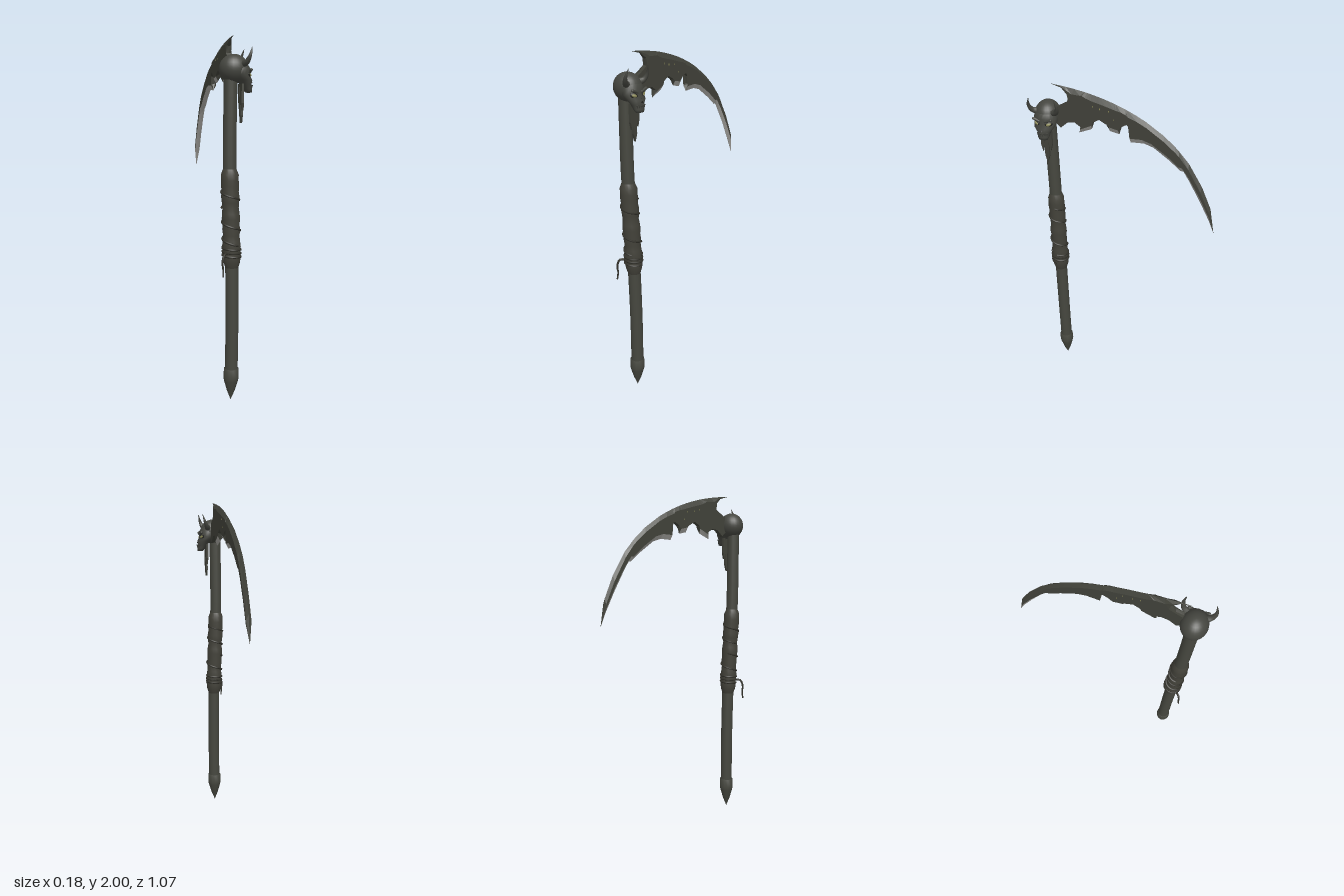
import * as THREE from 'three';

const V = (x, y, z) => new THREE.Vector3(x, y, z);
const mat = (name, color, side = THREE.FrontSide, flatShading = false) => {
  const m = new THREE.MeshStandardMaterial({ color, side, flatShading });
  m.name = name;
  return m;
};

// Slightly bowed centre line of the pole, evenly spaced in height from 0 to 1.8
const axis = new THREE.CatmullRomCurve3([
  V(-0.02, 0, 0.425), V(-0.014, 0.45, 0.426), V(-0.02, 0.9, 0.431),
  V(-0.034, 1.35, 0.441), V(-0.031, 1.8, 0.445)]);
const axisAt = (y) => axis.getPoint(THREE.MathUtils.clamp(y / 1.8, 0, 1));

// Turned profile [radius, y] that follows the pole's bow
function poleLathe(profile, sides) {
  const geo = new THREE.LatheGeometry(profile.map(([r, y]) => new THREE.Vector2(r, y)), sides);
  const p = geo.attributes.position;
  for (let i = 0; i < p.count; i++) {
    const c = axisAt(p.getY(i));
    p.setX(i, p.getX(i) + c.x);
    p.setZ(i, p.getZ(i) + c.z);
  }
  return geo;
}

// Tube that narrows to a fraction of its radius at the end
function taperTube(points, radius, end, segs = 14, sides = 8) {
  const path = new THREE.CatmullRomCurve3(points);
  const geo = new THREE.TubeGeometry(path, segs, radius, sides);
  const p = geo.attributes.position, v = V(0, 0, 0);
  for (let i = 0; i < p.count; i++) {
    const t = Math.floor(i / (sides + 1)) / segs;
    v.fromBufferAttribute(p, i).lerp(path.getPointAt(t), t * (1 - end));
    p.setXYZ(i, v.x, v.y, v.z);
  }
  return geo;
}

// Cord winding round the pole between two heights
function coil(y0, y1, turns, radius, start = 0) {
  const pts = [], n = Math.ceil(turns * 14);
  for (let i = 0; i <= n; i++) {
    const t = i / n, a = start + t * turns * Math.PI * 2, c = axisAt(y0 + (y1 - y0) * t);
    pts.push(V(c.x + Math.cos(a) * radius, y0 + (y1 - y0) * t, c.z + Math.sin(a) * radius));
  }
  return taperTube(pts, 0.006, 1, n * 2, 6);
}

// Blade spine (z, y) from the hooked heel to the point
const spine = new THREE.SplineCurve([
  [0.416, 2], [0.326, 1.993], [0.193, 1.973], [0.034, 1.93], [-0.125, 1.86], [-0.257, 1.77],
  [-0.374, 1.65], [-0.458, 1.51], [-0.51, 1.385], [-0.533, 1.25],
].map(([z, y]) => new THREE.Vector2(z, y)));

// Blade ribs: distance along spine, inner edge z, inner edge y, sharpened (1) or plain (0)
const ribs = [
  [0, 0.416, 2, 0], [0.06, 0.353, 1.984, 0], [0.09, 0.315, 1.952, 0], [0.14, 0.31, 1.915, 0],
  [0.2, 0.342, 1.883, 0], [0.215, 0.384, 1.873, 0], [0.225, 0.4, 1.79, 0], [0.23, 0.363, 1.756, 0],
  [0.235, 0.32, 1.793, 0], [0.24, 0.278, 1.798, 0], [0.25, 0.246, 1.777, 0],
  [0.255, 0.257, 1.74, 1], [0.27, 0.183, 1.772, 1],
  [0.275, 0.172, 1.814, 0], [0.29, 0.135, 1.835, 0], [0.32, 0.093, 1.814, 0],
  [0.335, 0.077, 1.777, 1], [0.37, 0.024, 1.767, 1],
  [0.38, 0.013, 1.81, 0], [0.4, -0.02, 1.83, 0], [0.43, -0.055, 1.81, 0], [0.44, -0.06, 1.767, 0],
  [0.45, -0.04, 1.73, 1], [0.5, -0.114, 1.735, 1], [0.56, -0.167, 1.72, 1], [0.68, -0.257, 1.66, 1],
  [0.76, -0.322, 1.608, 1], [0.79, -0.34, 1.606, 1], [0.88, -0.374, 1.554, 1],
  [1.03, -0.44, 1.44, 1], [1.17, -0.5, 1.326, 1], [1.327, -0.533, 1.25, 1],
];

function bladeGeometries() {
  const body = [], edge = [], cx = -0.007;
  // Each rib is spine, upper shoulder, lower shoulder, cutting edge
  const section = ([s, iz, iy, sharp], side) => {
    const o = spine.getPointAt(Math.min(1, s / 1.327)), i = new THREE.Vector2(iz, iy);
    const len = o.distanceTo(i), h = 0.015 * Math.min(1, len / 0.05) * side;
    const top = Math.min(0.03, len * 0.35), low = Math.min(sharp ? 0.028 : 0.004, len * 0.35);
    const at = (d, x) => { const q = o.clone().lerp(i, len ? d / len : 0); return [cx + x, q.y, q.x]; };
    return [at(0, 0), at(top, h), at(len - low, h), at(len, 0)];
  };
  for (const side of [1, -1]) {
    for (let k = 0; k < ribs.length - 1; k++) {
      const a = section(ribs[k], side), b = section(ribs[k + 1], side);
      for (let j = 0; j < 3; j++) {
        const q = [a[j], a[j + 1], b[j + 1], b[j]];
        if (side < 0) q.reverse();
        const out = j === 2 && ribs[k][3] && ribs[k + 1][3] ? edge : body;
        for (const n of [0, 1, 2, 0, 2, 3]) out.push(...q[n]);
      }
    }
  }
  return [body, edge].map((list) => {
    const g = new THREE.BufferGeometry();
    g.setAttribute('position', new THREE.Float32BufferAttribute(list, 3));
    g.computeVertexNormals();
    return g;
  });
}

// Face of the skull lofted from rows: y, front x, back x, half width
function faceGeometry(zc) {
  const rows = [
    [1.875, 0.03, 0, 0.02], [1.855, 0.056, -0.03, 0.05], [1.822, 0.074, -0.04, 0.066],
    [1.795, 0.068, -0.03, 0.066], [1.768, 0.084, 0, 0.057], [1.745, 0.08, 0.02, 0.04],
    [1.72, 0.085, 0.035, 0.034], [1.705, 0.083, 0.05, 0.026], [1.702, 0.068, 0.064, 0.003]];
  const n = 18, geo = new THREE.PlaneGeometry(1, 1, n, rows.length - 1), p = geo.attributes.position;
  for (let i = 0; i < p.count; i++) {
    const [y, f, b, w] = rows[Math.floor(i / (n + 1))];
    const a = ((i % (n + 1)) / n * 2 - 1) * Math.PI;
    p.setXYZ(i, (f + b) / 2 + (f - b) / 2 * Math.cos(a), y, zc - w * Math.sin(a));
  }
  geo.computeVertexNormals();
  return geo;
}

export function createModel() {
  const root = new THREE.Group();
  const wood = mat('dark wood', 0x46473f), bone = mat('dark bone', 0x454640);
  const iron = mat('dark iron', 0x41423a, THREE.DoubleSide, true);
  const steel = mat('sharpened steel', 0xa6a5a0, THREE.DoubleSide, true);
  const wrap = mat('leather wrap', 0x43423a), cordMat = mat('cord', 0x33322b);
  const glow = mat('pale yellow', 0x8c8a58), shade = mat('hollow black', 0x22231f);
  const add = (name, geo, m, parent = root) => {
    const mesh = new THREE.Mesh(geo, m);
    mesh.name = name;
    parent.add(mesh);
    return mesh;
  };

  // Pole and pointed foot
  const shaft = [];
  for (let i = 0; i <= 16; i++) shaft.push([0.036, 0.15 + i * 0.102]);
  add('shaft', poleLathe(shaft, 16), wood);
  add('footCap', poleLathe([[0, 0], [0.022, 0.055], [0.04, 0.115], [0.044, 0.135], [0.042, 0.185], [0.03, 0.187]], 12), wood);

  // Lumpy leather grip with cords
  const radii = [0.036, 0.046, 0.049, 0.047, 0.051, 0.047, 0.045, 0.049, 0.046, 0.05, 0.048, 0.044,
    0.047, 0.05, 0.046, 0.049, 0.047, 0.048, 0.036];
  add('grip', poleLathe(radii.map((r, i) => [r, 0.765 + i * 0.54 / 18]), 16), wrap);
  const cords = new THREE.Group();
  cords.name = 'gripCords';
  root.add(cords);
  add('lowerBinding', coil(0.825, 0.885, 3, 0.05), cordMat, cords);
  add('middleCord', coil(0.89, 1.03, 1.5, 0.049, 1), cordMat, cords);
  add('upperCord', coil(1.09, 1.22, 1.5, 0.048, 3), cordMat, cords);
  add('looseCord', taperTube([V(-0.05, 0.85, 0.46), V(-0.074, 0.848, 0.485), V(-0.086, 0.81, 0.495),
    V(-0.082, 0.77, 0.494), V(-0.083, 0.73, 0.502)], 0.007, 0.6), cordMat, cords);

  // Horned skull looking towards +x
  const skull = new THREE.Group(), zc = 0.443;
  skull.name = 'skull';
  root.add(skull);
  const cranium = add('cranium', new THREE.SphereGeometry(1, 24, 16), bone, skull);
  cranium.scale.set(0.078, 0.076, 0.07);
  cranium.position.set(-0.014, 1.825, zc);
  add('face', faceGeometry(zc), bone, skull);
  const nose = add('noseHollow', new THREE.ConeGeometry(0.01, 0.022, 3), shade, skull);
  nose.position.set(0.08, 1.765, zc);
  for (const s of [1, -1]) {
    add('horn', taperTube([V(0.02, 1.845, zc + s * 0.04), V(0.036, 1.857, zc + s * 0.07),
      V(0.05, 1.888, zc + s * 0.083), V(0.063, 1.932, zc + s * 0.074)], 0.021, 0.05), bone, skull);
    const socket = add('eyeSocket', new THREE.SphereGeometry(1, 12, 8), shade, skull);
    socket.scale.set(0.006, 0.014, 0.022);
    const eye = add('eye', new THREE.SphereGeometry(1, 12, 8), glow, skull);
    eye.scale.set(0.006, 0.008, 0.015);
    const brow = add('brow', new THREE.CapsuleGeometry(0.008, 0.035, 4, 8), bone, skull);
    socket.position.set(0.06, 1.793, zc + s * 0.035);
    eye.position.set(0.064, 1.793, zc + s * 0.036);
    brow.position.set(0.066, 1.814, zc + s * 0.034);
    socket.rotation.set(-s * 0.3, -s * 0.45, 0);
    eye.rotation.copy(socket.rotation);
    brow.rotation.set(s * 1.25, 0, 0);
    // Teeth along the jaw
    for (let i = 0; i < 3; i++) {
      const tooth = add('tooth', new THREE.ConeGeometry(0.005, 0.018, 6), bone, skull);
      tooth.rotation.x = Math.PI;
      tooth.position.set(0.084 - i * 0.005, 1.734, zc + s * (0.006 + i * 0.011));
    }
  }

  // Flat pointed strips hanging below the jaw
  for (const [dz, w, bottom] of [[0, 0.013, 1.545], [0.024, 0.01, 1.61], [-0.024, 0.01, 1.62]]) {
    const shape = new THREE.Shape([[-w, 1.75], [-w, bottom + 0.04], [0, bottom], [w, bottom + 0.04], [w, 1.75]]
      .map(([x, y]) => new THREE.Vector2(x, y)));
    const strip = add('hangingStrip', new THREE.ExtrudeGeometry(shape, { depth: 0.013, bevelEnabled: false }), iron);
    strip.rotation.y = Math.PI / 2;
    strip.position.set(0.02, 0, zc + dz);
  }

  // Notched blade with sharpened edge and tiny pits
  const [body, edge] = bladeGeometries();
  add('blade', body, iron);
  add('bladeEdge', edge, steel);
  for (const [y, z] of [[1.91, 0.17], [1.895, 0.08], [1.85, 0.05], [1.9, 0.13]]) {
    add('bladeFleck', new THREE.BoxGeometry(0.031, 0.009, 0.004), glow).position.set(-0.007, y, z);
  }
  return root;
}
